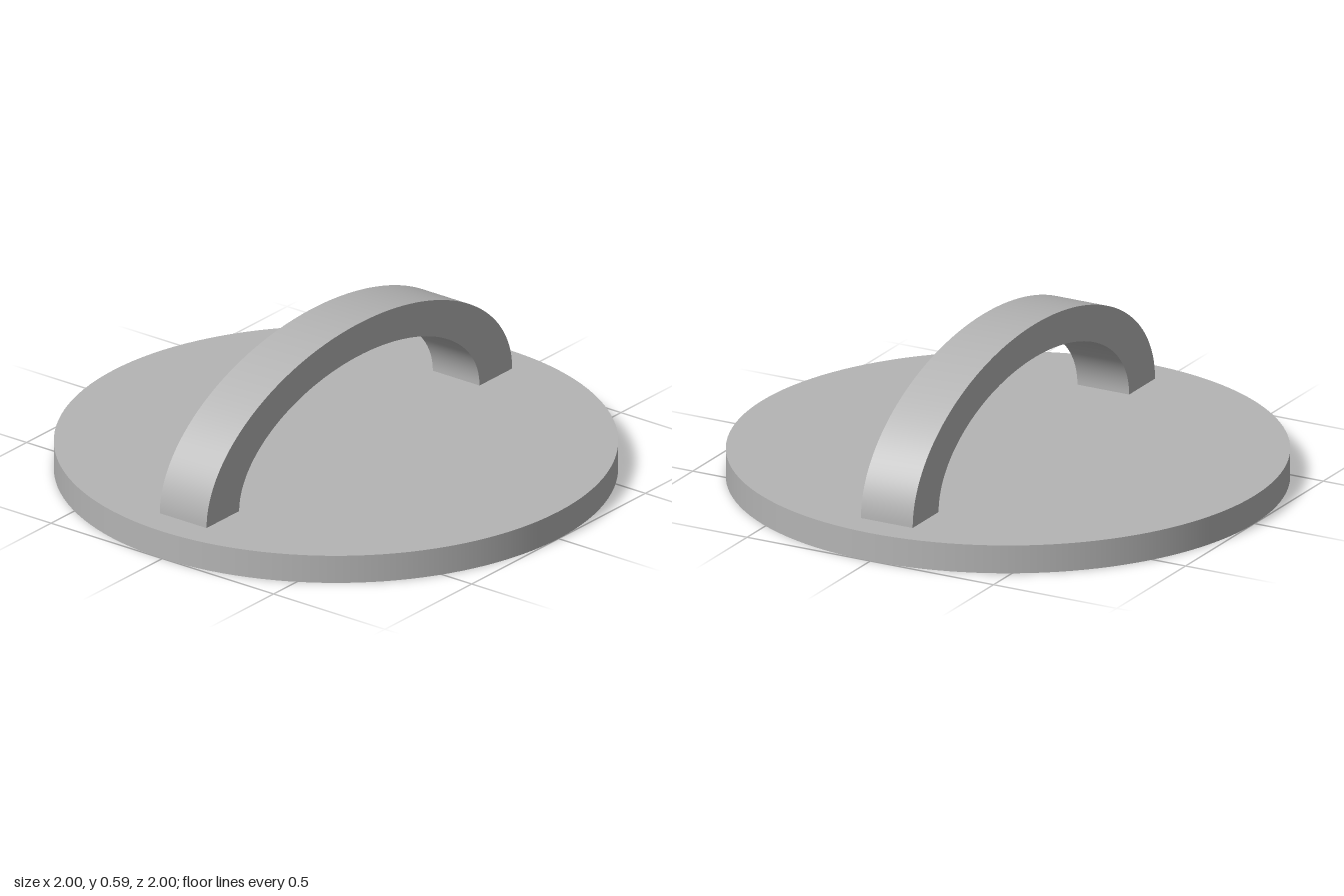
import * as THREE from 'three';
import { toCreasedNormals } from 'three/addons/utils/BufferGeometryUtils.js';

export function createModel() {
  const model = new THREE.Group();
  model.name = 'discWithHandle';
  const grey = new THREE.MeshStandardMaterial({ name: 'grey', color: 0xb4b4b4 });

  const discHeight = 0.105;
  const handleWidth = 0.21;

  // Round base plate
  const disc = new THREE.Mesh(new THREE.CylinderGeometry(1, 1, discHeight, 128), grey);
  disc.name = 'disc';
  disc.position.y = discHeight / 2;
  model.add(disc);

  // Arched handle: the band between two half ellipses, standing on the plate
  const arch = new THREE.Shape();
  arch.absellipse(0, 0, 0.88, 0.485, 0, Math.PI, false);
  arch.lineTo(-0.692, 0);
  arch.absellipse(0, 0, 0.692, 0.36, Math.PI, 0, true);
  arch.closePath();
  const band = new THREE.ExtrudeGeometry(arch, {
    depth: handleWidth, bevelEnabled: false, curveSegments: 48,
  });
  band.translate(0, 0, -handleWidth / 2);

  const handle = new THREE.Mesh(toCreasedNormals(band, Math.PI / 6), grey);
  handle.name = 'handle';
  handle.position.y = discHeight;
  model.add(handle);

  return model;
}
